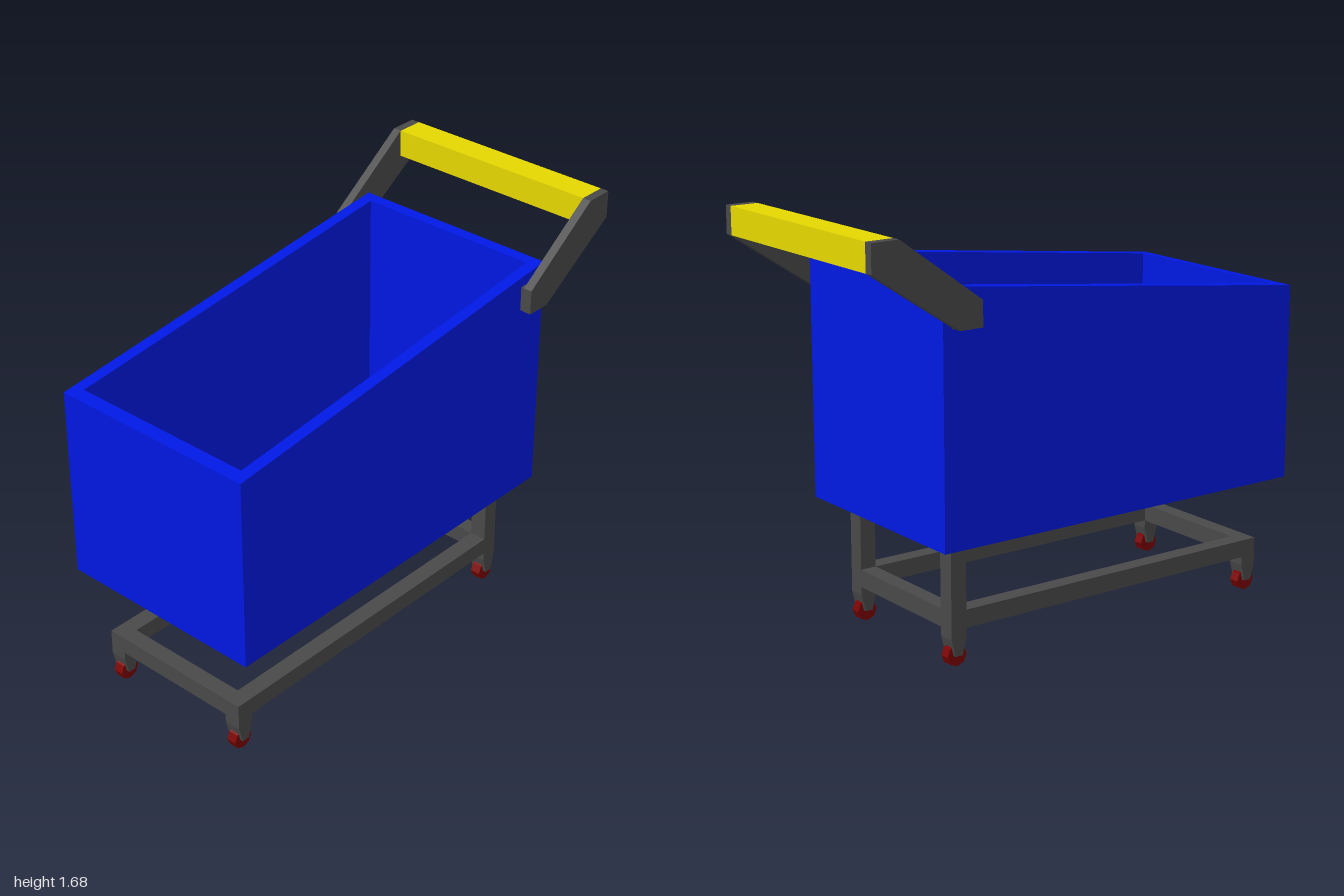
import * as THREE from 'three';

const mat = (name, color) => Object.assign(new THREE.MeshStandardMaterial({ color }), { name });

export function createModel() {
  const blue = mat('basket blue', 0x0018e2);
  const grey = mat('frame grey', 0x494949);
  const yellow = mat('handle yellow', 0xe5d700);
  const red = mat('wheel red', 0x7a0000);
  const cart = new THREE.Group();
  cart.name = 'cart';

  const add = (name, geo, material) => {
    const mesh = new THREE.Mesh(geo, material);
    mesh.name = name;
    cart.add(mesh);
    return mesh;
  };
  // Box given by its extents on each axis
  const box = (name, material, [x0, x1], [y0, y1], [z0, z1]) =>
    add(name, new THREE.BoxGeometry(x1 - x0, y1 - y0, z1 - z0), material)
      .position.set((x0 + x1) / 2, (y0 + y1) / 2, (z0 + z1) / 2);
  // Side profile of [z, y] points, extruded from x0 to x1
  const sidePlate = (name, material, points, x0, x1) => {
    const shape = new THREE.Shape(points.map(([z, y]) => new THREE.Vector2(-z, y)));
    const geo = new THREE.ExtrudeGeometry(shape, { depth: x1 - x0, bevelEnabled: false });
    geo.rotateY(Math.PI / 2).translate(x0, 0, 0);
    add(name, geo, material);
  };

  // Basket walls: a rectangular ring whose rim slopes up to the back
  const rect = (x, z0, z1) => [[-x, -z1], [x, -z1], [x, -z0], [-x, -z0]]
    .map(([a, b]) => new THREE.Vector2(a, b));
  const ring = new THREE.Shape(rect(0.448, -0.673, 1));
  ring.holes.push(new THREE.Path(rect(0.398, -0.63, 0.945)));
  const walls = new THREE.ExtrudeGeometry(ring, { depth: 1, bevelEnabled: false });
  walls.rotateX(-Math.PI / 2);
  const pos = walls.attributes.position;
  for (let i = 0; i < pos.count; i++) {
    const rim = 1.29 + (1 - pos.getZ(i)) * 0.117;
    pos.setY(i, pos.getY(i) > 0.5 ? rim : 0.498);
  }
  walls.computeVertexNormals();
  add('basketWalls', walls, blue);
  box('basketFloor', blue, [-0.41, 0.41], [0.498, 0.55], [-0.64, 0.955]);

  // Push handle
  box('handleBar', yellow, [-0.462, 0.462], [1.572, 1.683], [-1, -0.885]);
  const arm = [[-0.535, 1.33], [-0.635, 1.33], [-1, 1.572], [-1, 1.683], [-0.885, 1.683], [-0.535, 1.43]];

  const front = 0.908, back = -0.543, half = 0.034;
  for (const s of [1, -1]) {
    const side = s > 0 ? 'left' : 'right';
    const span = (a, b) => (s > 0 ? [a, b] : [-b, -a]);
    sidePlate(side + 'HandleArm', grey, arm, ...span(0.462, 0.498));
    box(side + 'HandleMount', grey, span(0.44, 0.462), [1.33, 1.43], [-0.635, -0.537]);

    // Lower rail and rear upright
    box(side + 'Rail', grey, span(0.275, 0.345), [0.15, 0.222], [back + half, front + half]);
    box(side + 'Upright', grey, span(0.275, 0.345), [0.15, 0.5], [back - half, back + half]);

    // Tapered fork and caster wheel at each corner
    for (const [end, z] of [['Front', front], ['Back', back]]) {
      // Fork outline cut off at height y, where it has half width w
      const fork = (y, w) => [[z - half, 0.15], [z - half, 0.115], [z - w, y],
        [z + w, y], [z + half, 0.115], [z + half, 0.15]];
      sidePlate(side + end + 'ForkOuter', grey, fork(0.045, 0.016), ...span(0.33, 0.345));
      sidePlate(side + end + 'ForkInner', grey, fork(0.045, 0.016), ...span(0.275, 0.29));
      sidePlate(side + end + 'ForkCrown', grey, fork(0.08, 0.025), ...span(0.29, 0.33));
      const tyre = new THREE.CylinderGeometry(0.043, 0.043, 0.042, 8).toNonIndexed();
      tyre.rotateZ(Math.PI / 2);
      tyre.computeVertexNormals();
      add(side + end + 'Wheel', tyre, red).position.set(s * 0.31, 0.043, z);
    }
  }

  // Cross bars joining the two sides
  for (const [name, z] of [['frontCrossBar', front], ['backCrossBar', back]]) {
    box(name, grey, [-0.275, 0.275], [0.15, 0.222], [z - half, z + half]);
  }
  return cart;
}
